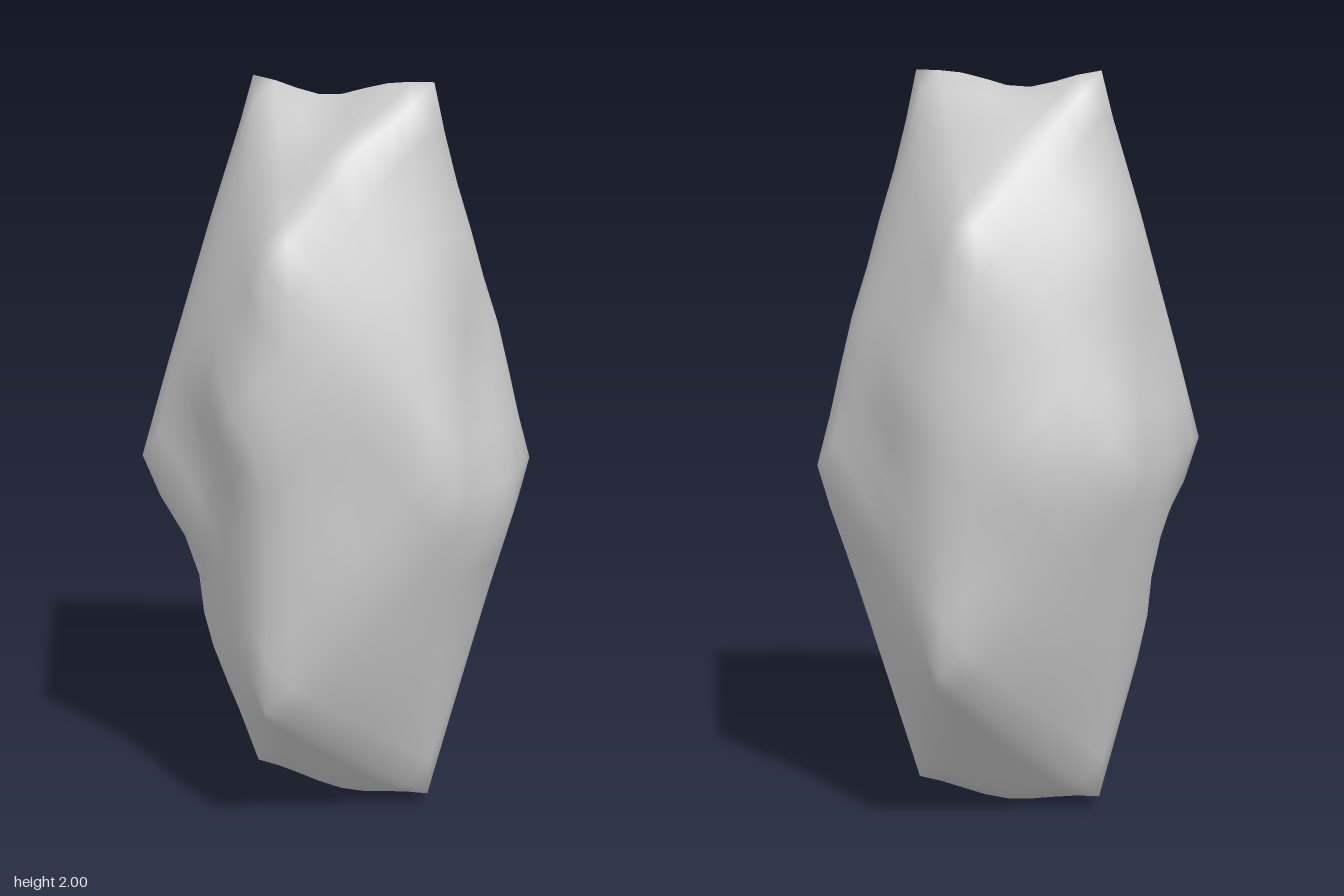
import * as THREE from 'three';
import { mergeVertices } from 'three/addons/utils/BufferGeometryUtils.js';

// Twelve corners of a tall, twisted icosahedral boulder
const CORNERS = [
  [-0.13, 2.0, -0.22], [0.14, 2.0, 0.23],      // top ridge
  [-0.13, 0.04, -0.23], [0.15, 0.04, 0.22],    // foot ridge
  [-0.38, 0.40, 0.24], [-0.365, 1.57, 0.23],   // right flank
  [0.42, 0.47, -0.24], [0.36, 1.55, -0.235],   // left flank
  [0.475, 0.96, 0.22], [0.02, 0.99, 0.51],     // waist, front
  [0.0, 1.0, -0.51], [-0.48, 1.0, -0.24],      // waist, back
].map((p) => new THREE.Vector3(...p));

const FACES = [
  [0, 11, 5], [0, 5, 1], [0, 1, 7], [0, 7, 10], [0, 10, 11],
  [1, 5, 9], [5, 11, 4], [11, 10, 2], [10, 7, 6], [7, 1, 8],
  [3, 9, 4], [3, 4, 2], [3, 2, 6], [3, 6, 8], [3, 8, 9],
  [4, 9, 5], [2, 4, 11], [6, 2, 10], [8, 6, 7], [9, 8, 1],
];

// Local bumps and dents: centre, push, radius
const BUMPS = [
  // top saddle and foot
  [[-0.02, 1.99, -0.04], [0, -0.045, 0], 0.14],
  [[0.02, 0.04, 0], [0, -0.04, 0], 0.17],
  // raised lip in front of the top ridge, with a hollow behind it
  [[-0.1, 1.79, 0.23], [0, 0.045, 0.005], 0.12],
  [[-0.08, 1.88, 0.05], [0.02, -0.03, -0.01], 0.1],
  // slim neck below both peaks, fuller back beneath it
  [[0.12, 1.77, 0.3], [0, 0, -0.03], 0.14],
  [[-0.1, 1.81, -0.28], [0, 0, 0.025], 0.1],
  [[-0.08, 1.54, -0.35], [0, 0, -0.025], 0.14],
  // right flank: shoulder with hollows behind and below it
  [[-0.38, 1.17, 0.18], [-0.05, 0, 0], 0.15],
  [[-0.44, 1.0, -0.02], [0.05, 0, 0], 0.15],
  [[-0.43, 0.7, -0.02], [0.045, 0, 0.005], 0.17],
  [[-0.38, 0.7, -0.22], [0.025, 0, 0.03], 0.14],
  // left flank
  [[0.38, 1.2, -0.18], [0.035, 0, 0.03], 0.17],
  [[0.43, 1.0, -0.05], [-0.015, 0, 0], 0.13],
  [[0.44, 0.7, 0], [-0.02, 0, 0], 0.14],
  // waist, back and front
  [[0.2, 1.0, -0.38], [0.025, 0, -0.02], 0.15],
  [[-0.22, 1.0, -0.38], [-0.01, 0, -0.025], 0.14],
  [[0.24, 0.9, 0.36], [0.03, 0, 0.045], 0.17],
  [[0.22, 1.3, 0.33], [-0.02, 0, -0.03], 0.1],
  [[0.33, 1.3, 0.15], [0.015, 0, 0.01], 0.12],
  [[-0.2, 1.0, 0.39], [0.01, 0, -0.015], 0.15],
].map(([c, d, r]) => ({ c: new THREE.Vector3(...c), d: new THREE.Vector3(...d), r }));

// Splits every face into n * n small triangles, swelling its middle outward
function subdivide(n, swell) {
  const out = [];
  const normal = new THREE.Vector3();
  for (const face of FACES) {
    const [A, B, C] = face.map((i) => CORNERS[i]);
    new THREE.Triangle(A, B, C).getNormal(normal);
    const at = (a, b) => {
      const u = (n - a - b) / n, v = a / n, w = b / n;
      return new THREE.Vector3()
        .addScaledVector(A, u).addScaledVector(B, v).addScaledVector(C, w)
        .addScaledVector(normal, swell * 27 * u * v * w).toArray();
    };
    for (let a = 0; a < n; a++) {
      for (let b = 0; b < n - a; b++) {
        out.push(...at(a, b), ...at(a + 1, b), ...at(a, b + 1));
        if (a + b < n - 1) out.push(...at(a + 1, b), ...at(a + 1, b + 1), ...at(a, b + 1));
      }
    }
  }
  return out;
}

export function createModel() {
  const group = new THREE.Group();
  group.name = 'boulder';

  let geometry = new THREE.BufferGeometry();
  geometry.setAttribute('position', new THREE.Float32BufferAttribute(subdivide(8, 0.02), 3));
  geometry = mergeVertices(geometry, 1e-4);

  // Weathered surface: apply the bumps and dents
  const pos = geometry.attributes.position;
  const p = new THREE.Vector3();
  const q = new THREE.Vector3();
  for (let i = 0; i < pos.count; i++) {
    p.fromBufferAttribute(pos, i);
    q.copy(p);
    for (const { c, d, r } of BUMPS) q.addScaledVector(d, Math.exp(-p.distanceToSquared(c) / (r * r)));
    pos.setXYZ(i, q.x, Math.max(0, q.y), q.z);
  }
  geometry.computeVertexNormals();

  const rock = new THREE.Mesh(geometry, new THREE.MeshStandardMaterial({ color: 0xcccccc, roughness: 0.9 }));
  rock.name = 'rockBody';
  group.add(rock);
  return group;
}
